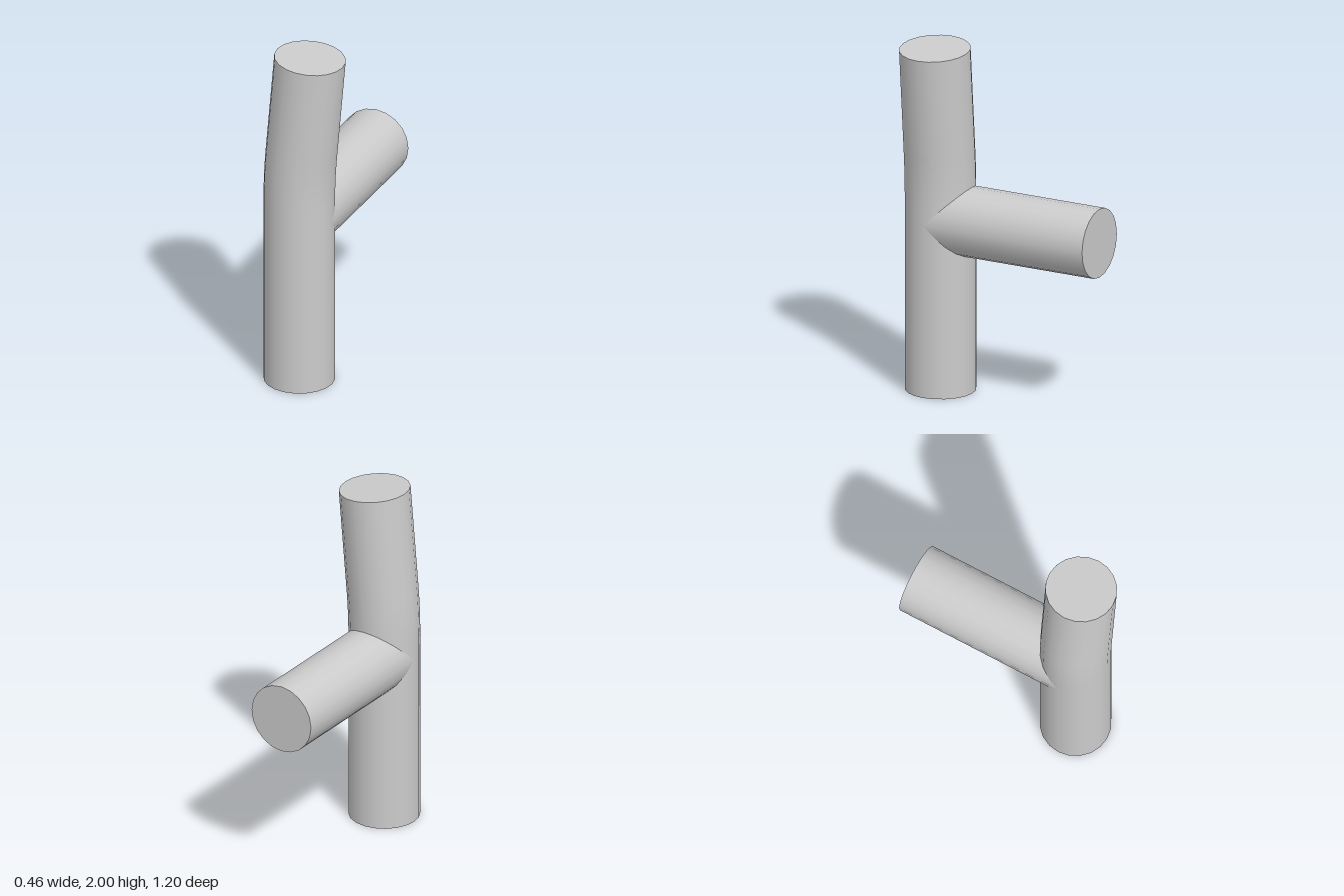
import * as THREE from 'three';

const RADIUS = 0.198, SIDES = 20;
const AXIS_X = -0.033, AXIS_Z = 0.4;

// Centre line of the stem: straight, a gentle 5 degree arc, then straight again
function stemStations() {
  const bend = THREE.MathUtils.degToRad(5), start = 1.1, arcRadius = 0.29 / bend, steps = 8;
  const stations = [{ x: 0, y: 0, a: 0 }];
  for (let i = 0; i <= steps; i++) {
    const a = bend * i / steps;
    stations.push({ x: arcRadius * (1 - Math.cos(a)), y: start + arcRadius * Math.sin(a), a });
  }
  const last = stations[steps + 1], topY = 1.983;
  stations.push({ x: last.x + (topY - last.y) * Math.tan(bend), y: topY, a: bend });
  return stations;
}

// Capped cylinder whose rings are moved onto the stations and tilted with them
function bentCylinder(stations) {
  const n = stations.length - 1;
  const geo = new THREE.CylinderGeometry(RADIUS, RADIUS, n, SIDES, n);
  const pos = geo.attributes.position, nor = geo.attributes.normal;
  const v = new THREE.Vector3(), axis = new THREE.Vector3(0, 0, 1);
  for (let i = 0; i < pos.count; i++) {
    const s = stations[Math.round(pos.getY(i) + n / 2)];
    v.set(pos.getX(i), 0, pos.getZ(i)).applyAxisAngle(axis, -s.a);
    pos.setXYZ(i, v.x + s.x, v.y + s.y, v.z);
    v.fromBufferAttribute(nor, i).applyAxisAngle(axis, -s.a);
    nor.setXYZ(i, v.x, v.y, v.z);
  }
  return geo;
}

export function createModel() {
  const group = new THREE.Group();
  group.name = 'pipeTee';
  const material = new THREE.MeshStandardMaterial({ color: 0xcccccc });

  // Upright stem with the slight bend in its upper half
  const stem = new THREE.Mesh(bentCylinder(stemStations()), material);
  stem.name = 'stem';
  stem.position.set(AXIS_X, 0, AXIS_Z);
  group.add(stem);

  // Horizontal branch running backwards from the stem's axis
  const length = AXIS_Z + 0.598;
  const branch = new THREE.Mesh(new THREE.CylinderGeometry(RADIUS, RADIUS, length, SIDES), material);
  branch.name = 'branch';
  branch.rotation.x = -Math.PI / 2;
  branch.position.set(AXIS_X, 0.995, AXIS_Z - length / 2);
  group.add(branch);

  return group;
}
